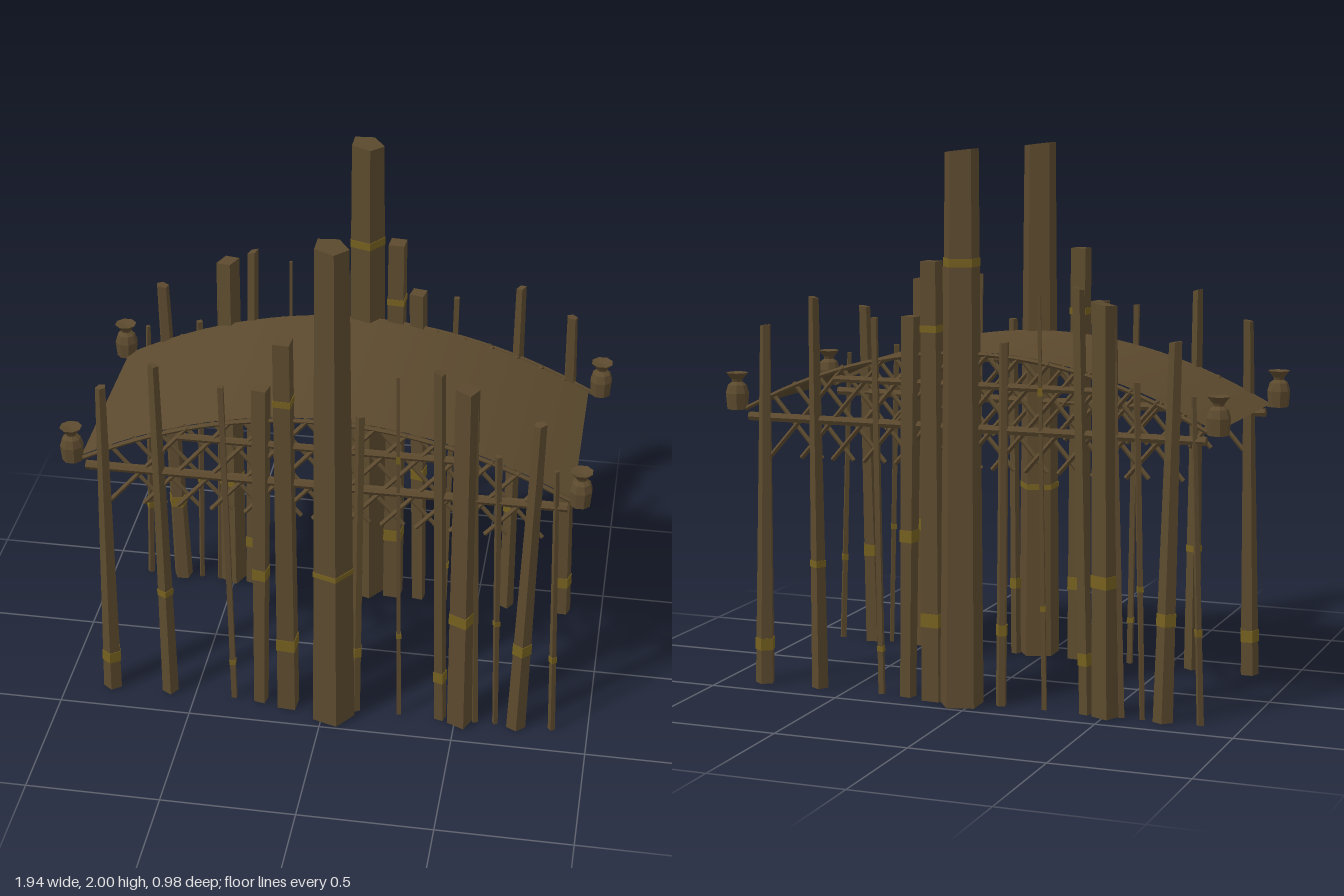
import * as THREE from 'three';

const wood = new THREE.MeshStandardMaterial({ color: 0x5c4a2e, flatShading: true });
wood.name = 'brown wood';
const deckWood = new THREE.MeshStandardMaterial({ color: 0x5c4a2e, side: THREE.DoubleSide });
deckWood.name = 'deck wood';
const rope = new THREE.MeshStandardMaterial({ color: 0x75601f, flatShading: true });
rope.name = 'straw rope';

const archY = (x) => 1.28 - 0.24 * (x / 0.89) ** 2;

function add(parent, name, geometry, material) {
  const mesh = new THREE.Mesh(geometry, material);
  mesh.name = name;
  parent.add(mesh);
  return mesh;
}

// Leaning tapered pole with a slanted top and optional rope bands.
function pole(parent, name, o) {
  const { xb, xt, zb, zt, h, rb, rt, sides = 4, turn = 0, slant = 0, bands = [] } = o;
  const group = new THREE.Group();
  group.name = name;
  const section = (y0, y1, grow, cut) => {
    const r = (y) => THREE.MathUtils.lerp(rb, rt, y / h) + grow;
    const g = new THREE.CylinderGeometry(r(y1), r(y0), y1 - y0, sides);
    g.rotateY(turn);
    g.translate(0, (y0 + y1) / 2, 0);
    const p = g.attributes.position;
    for (let i = 0; i < p.count; i++) {
      const y = p.getY(i), t = y / h, x = p.getX(i);
      if (cut && y > h - 0.01) p.setY(i, y + slant * x - Math.abs(slant) * rt);
      p.setX(i, x + THREE.MathUtils.lerp(xb, xt, t));
      p.setZ(i, p.getZ(i) + THREE.MathUtils.lerp(zb, zt, t));
    }
    g.computeVertexNormals();
    return g;
  };
  add(group, name + 'Shaft', section(0, h, 0, true), wood);
  for (const [y, size] of bands) add(group, name + 'Rope', section(y - size / 2, y + size / 2, 0.003, false), rope);
  parent.add(group);
}

// Straight thin timber between two points in the side frame.
function strut(parent, name, a, b, r, sides = 4) {
  const from = new THREE.Vector3(...a), to = new THREE.Vector3(...b);
  const dir = to.clone().sub(from);
  const m = add(parent, name, new THREE.CylinderGeometry(r, r, dir.length(), sides), wood);
  m.position.copy(from).add(to).multiplyScalar(0.5);
  m.quaternion.setFromUnitVectors(new THREE.Vector3(0, 1, 0), dir.normalize());
}

// Thin sheet following the arch.
function deckGeometry() {
  const g = new THREE.PlaneGeometry(1.785, 0.74, 32, 1);
  g.rotateX(-Math.PI / 2);
  const p = g.attributes.position;
  for (let i = 0; i < p.count; i++) p.setY(i, archY(p.getX(i)));
  g.computeVertexNormals();
  return g;
}

// x bottom, x top, height, radius bottom, radius top, sides, slant, rope bands
const POLES = [
  [-0.825, -0.80, 1.35, 0.037, 0.02, 5, 0.15, [[0.15, 0.045]]],
  [0.73, 0.765, 1.35, 0.038, 0.024, 5, 0.15, [[0.37, 0.045]]],
  [-0.60, -0.605, 1.46, 0.031, 0.019, 4, -0.25, [[0.47, 0.025]]],
  [0.52, 0.51, 1.475, 0.051, 0.044, 4, -0.15, [[0.49, 0.045]]],
  [0.443, 0.41, 1.53, 0.025, 0.022, 4, -0.4, [[0.2, 0.045]]],
  [-0.245, -0.22, 1.4, 0.03, 0.038, 4, 0, [[0.6, 0.045]]],
  [-0.138, -0.138, 1.6, 0.048, 0.042, 4, 0, [[0.3, 0.05], [1.36, 0.025]]],
  [-0.35, -0.365, 1.39, 0.014, 0.014, 4, 0, [[0.17, 0.02]]],
  [0.285, 0.265, 1.49, 0.012, 0.008, 4, 0, [[0.37, 0.02], [1.15, 0.03]]],
  [0.12, 0.135, 1.32, 0.02, 0.018, 5, 0, [[0.28, 0.04]]],
  [0.575, 0.54, 1.39, 0.014, 0.01, 4, 0, []],
  [0.652, 0.625, 1.2, 0.011, 0.014, 4, 0, [[0.47, 0.02]]],
  [0.865, 0.83, 1.16, 0.014, 0.01, 4, 0, [[0.33, 0.025]]],
];

function buildSide() {
  const side = new THREE.Group();
  POLES.forEach(([xb, xt, h, rb, rt, sides, slant, bands], i) => {
    const z = 0.372 + (rb > 0.045 ? 0.01 : 0);
    pole(side, 'pole' + (i + 1), { xb, xt, zb: z, zt: z + 0.008, h, rb, rt, sides, turn: i * 0.12, slant, bands });
  });

  // Horizontal rails tying the poles together
  strut(side, 'lowerRail', [-0.875, 1.005, 0.37], [0.875, 1.005, 0.37], 0.017, 6);
  strut(side, 'upperRail', [-0.53, 1.16, 0.37], [0.53, 1.16, 0.37], 0.014, 6);

  // Crossed braces running up to the arch
  for (let i = 0; i < 12; i++) {
    const foot = -0.79 + i * 0.125;
    let top = foot;
    while (top < 0.85 && 0.86 + (top - foot) * 1.15 < archY(top) - 0.01) top += 0.01;
    const rise = 0.86 + (top - foot) * 1.15;
    for (const s of [-1, 1]) {
      strut(side, 'brace', [s * foot, 0.86, 0.365 + s * 0.006], [s * top, rise, 0.365 + s * 0.006], 0.009);
    }
  }

  // Curved edge beam
  const pts = [];
  for (let i = 0; i <= 12; i++) {
    const x = -0.89 + (1.78 * i) / 12;
    pts.push(new THREE.Vector3(x, archY(x) - 0.008, 0.37));
  }
  add(side, 'archBeam', new THREE.TubeGeometry(new THREE.CatmullRomCurve3(pts), 32, 0.009, 5), wood);

  // Corner pots
  const profile = [[0, 1.03], [0.038, 1.03], [0.043, 1.09], [0.034, 1.12], [0.018, 1.132],
    [0.022, 1.142], [0.041, 1.165], [0, 1.158]].map(([r, y]) => new THREE.Vector2(r, y));
  for (const x of [-0.922, 0.918]) {
    const pot = add(side, 'cornerPot', new THREE.LatheGeometry(profile, 8), wood);
    pot.position.set(x, 0, 0.375);
    pot.rotation.y = Math.PI / 8;
  }
  return side;
}

export function createModel() {
  const root = new THREE.Group();
  root.name = 'archedTimberBridge';

  const deck = add(root, 'deck', deckGeometry(), deckWood);
  deck.position.z = -0.008;

  // The back frame is the front frame turned half way round
  const front = buildSide();
  front.name = 'frontFrame';
  const back = buildSide();
  back.name = 'backFrame';
  back.rotation.y = Math.PI;
  back.position.set(0.015, 0, -0.01);
  root.add(front, back);

  // Tall main posts
  for (const s of [1, -1]) {
    pole(root, s > 0 ? 'frontMainPost' : 'backMainPost', {
      xb: 0.038, xt: 0.035, zb: s * 0.412, zt: s * 0.405, h: 2, rb: 0.083, rt: 0.063,
      sides: 5, turn: Math.PI / 2, slant: -0.12, bands: s > 0 ? [[0.67, 0.02]] : [[1.6, 0.03]],
    });
  }
  return root;
}
